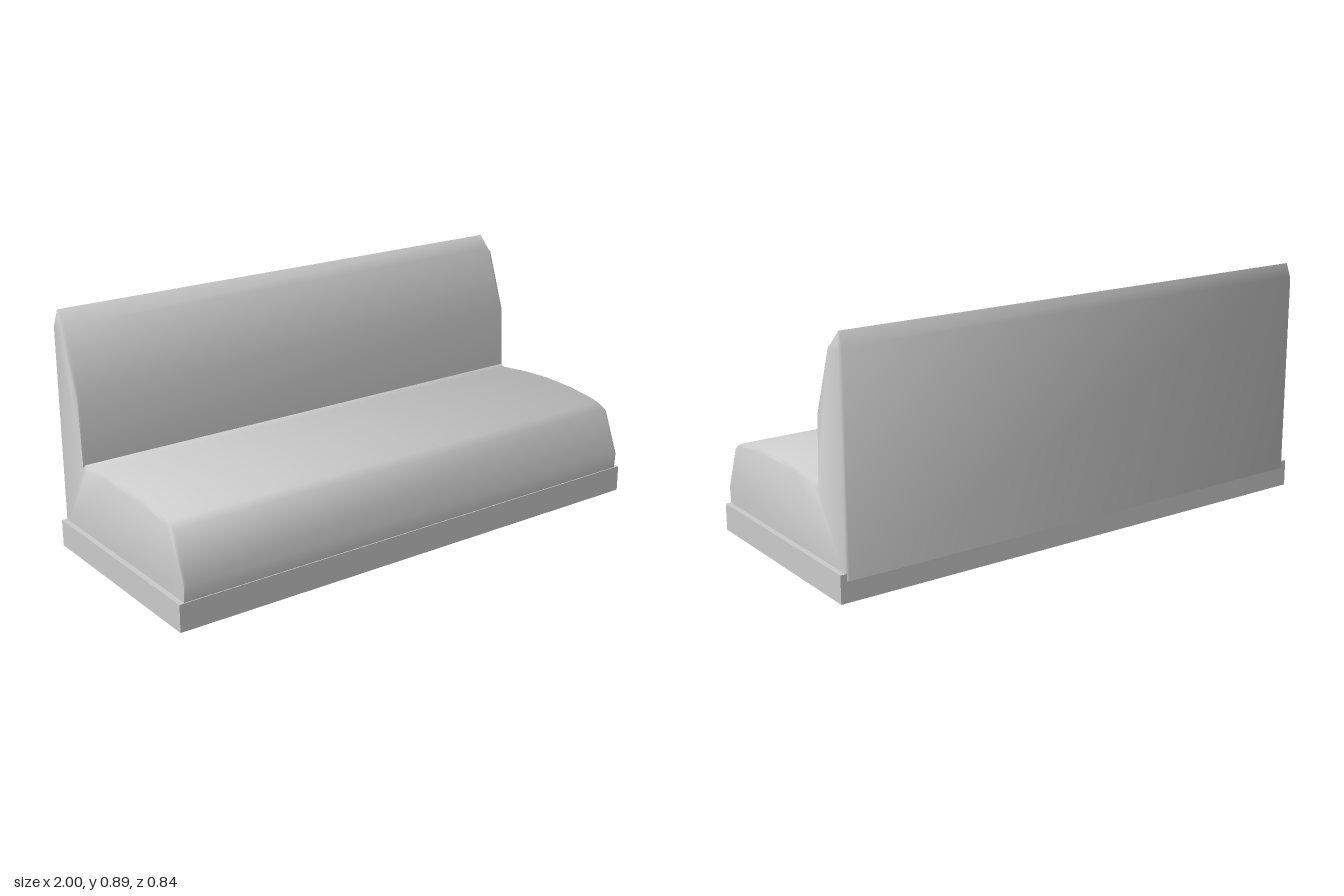
import * as THREE from 'three';
import { toCreasedNormals } from 'three/addons/utils/BufferGeometryUtils.js';

// Bench side profile as [z, y], from the front bottom over the seat and back
const profile = [
  [0.415, 0.08], [0.42, 0.16], [0.355, 0.33], [0.32, 0.347], [0.27, 0.356], [0.17, 0.368],
  [0.03, 0.373], [-0.09, 0.367], [-0.225, 0.353], [-0.253, 0.358], [-0.266, 0.605],
  [-0.348, 0.836], [-0.4, 0.888], [-0.419, 0.838], [-0.42, 0.075],
];
// The same profile slightly lowered, for the softened ends
const endProfile = profile.map(([z, y]) => [z < -0.41 ? -0.412 : z, y > 0.85 ? 0.85 : y > 0.3 ? y - 0.01 : y]);

// Join the profiles across x and close both ends
function loft(sections) {
  const n = profile.length;
  const positions = sections.flatMap(([x, points]) => points.flatMap(([z, y]) => [x, y, z]));
  const index = [];
  for (let s = 0; s < sections.length - 1; s++) {
    for (let i = 0; i < n; i++) {
      const j = (i + 1) % n;
      const a = s * n + i, b = a + n, c = (s + 1) * n + j, d = s * n + j;
      index.push(a, b, c, a, c, d);
    }
  }
  const last = (sections.length - 1) * n;
  const contour = endProfile.map(([z, y]) => new THREE.Vector2(z, y));
  for (const [a, b, c] of THREE.ShapeUtils.triangulateShape(contour, [])) {
    index.push(a, b, c, last + a, last + c, last + b);
  }
  const geometry = new THREE.BufferGeometry();
  geometry.setAttribute('position', new THREE.Float32BufferAttribute(positions, 3));
  geometry.setIndex(index);
  return toCreasedNormals(geometry, 1.0);
}

export function createModel() {
  const group = new THREE.Group();
  group.name = 'bench';
  const material = new THREE.MeshStandardMaterial({ color: 0xcccccc });

  // Flat plinth
  const base = new THREE.Mesh(new THREE.BoxGeometry(2, 0.1, 0.835), material);
  base.name = 'base';
  base.position.set(0, 0.05, 0.0025);
  group.add(base);

  // Upholstered seat and backrest in one piece
  const cushion = new THREE.Mesh(
    loft([[-0.98, endProfile], [-0.97, profile], [0.97, profile], [0.98, endProfile]]), material);
  cushion.name = 'seatAndBackrest';
  group.add(cushion);
  return group;
}
